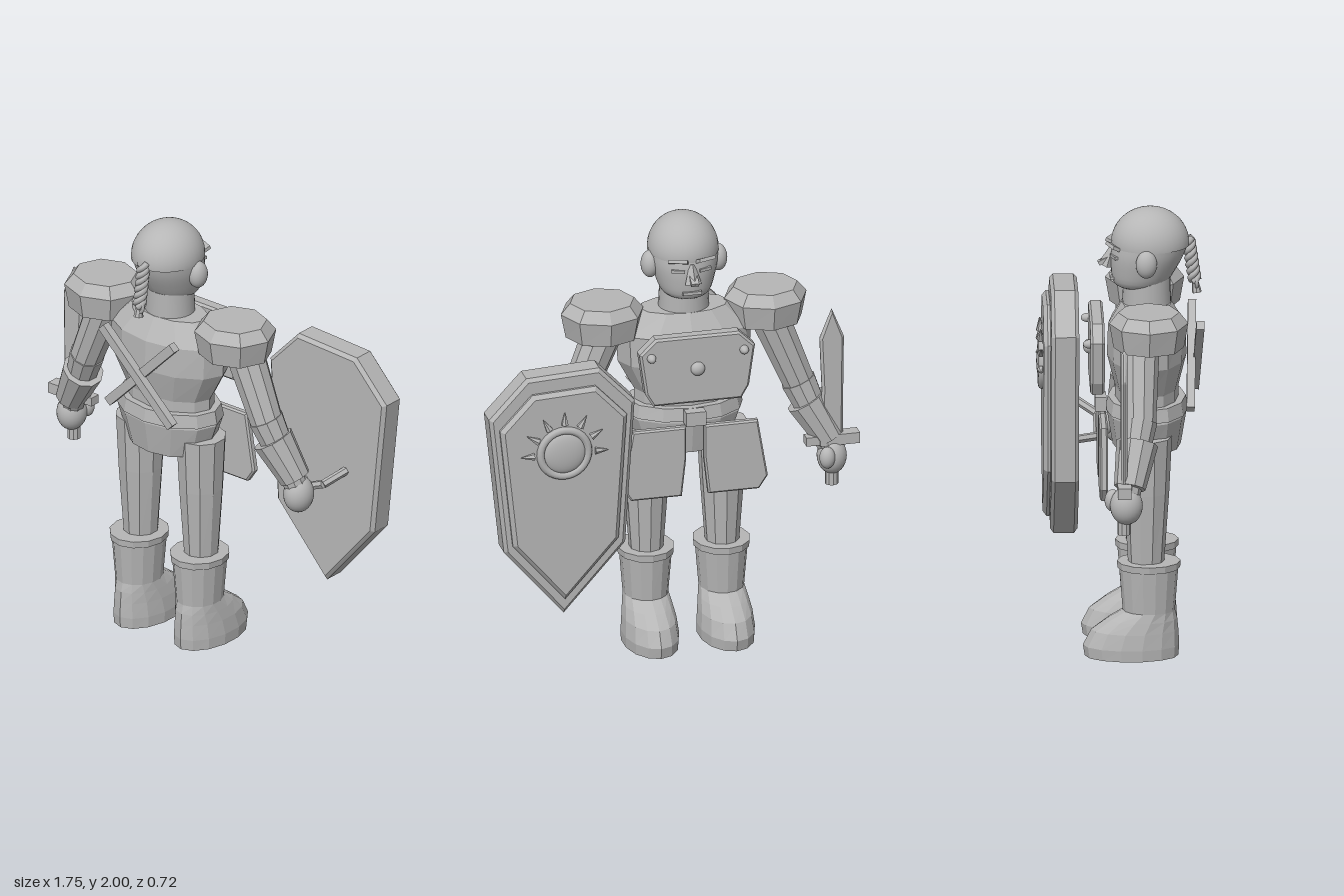
import * as THREE from 'three';

const CX = -0.11; // body midline
const V = (x, y, z) => new THREE.Vector3(x, y, z);

export function createModel() {
  const root = new THREE.Group();
  const grey = new THREE.MeshStandardMaterial({ color: 0xb6b6b6 });
  grey.name = 'plain grey';

  const body = new THREE.Group();
  body.name = 'warrior';
  body.position.x = CX;
  root.add(body);

  function add(parent, name, geo, flat = true) {
    if (flat) {
      if (geo.index) geo = geo.toNonIndexed();
      geo.computeVertexNormals();
    }
    const m = new THREE.Mesh(geo, grey);
    m.name = name;
    parent.add(m);
    return m;
  }
  // Stacked elliptical rings, top first: [y, halfWidth, centreZ, halfDepth]
  function loft(rings, sides) {
    const n = rings.length - 1;
    const g = new THREE.CylinderGeometry(1, 1, 1, sides, n);
    const p = g.attributes.position;
    for (let i = 0; i < p.count; i++) {
      const [y, w, cz, d] = rings[Math.round((0.5 - p.getY(i)) * n)];
      p.setXYZ(i, p.getX(i) * w, y, cz + p.getZ(i) * d);
    }
    return g;
  }
  // Tapered rod from a to b
  function rod(a, b, ra, rb, sides) {
    const d = b.clone().sub(a);
    const g = new THREE.CylinderGeometry(rb, ra, d.length(), sides);
    g.applyQuaternion(new THREE.Quaternion().setFromUnitVectors(V(0, 1, 0), d.normalize()));
    const c = a.clone().add(b).multiplyScalar(0.5);
    return g.translate(c.x, c.y, c.z);
  }
  // Bevelled outline between two depths
  function plate(pts, z0, z1, bevel) {
    const shape = new THREE.Shape(pts.map(([x, y]) => new THREE.Vector2(x, y)));
    const g = new THREE.ExtrudeGeometry(shape, {
      depth: z1 - z0 - 2 * bevel, bevelEnabled: bevel > 0, bevelSize: bevel,
      bevelThickness: bevel, bevelOffset: -bevel, bevelSegments: 1,
    });
    return g.translate(0, 0, z0 + bevel);
  }
  function ball(parent, name, c, r) {
    const m = add(parent, name, new THREE.SphereGeometry(1, 24, 16), false);
    m.position.set(...c);
    m.scale.set(...r);
    return m;
  }
  function box(parent, name, size, c, rot = [0, 0, 0]) {
    const m = add(parent, name, new THREE.BoxGeometry(...size));
    m.position.set(...c);
    m.rotation.set(...rot);
    return m;
  }

  // Torso, hips, belt and neck
  add(body, 'torso', loft([[1.57, 0.2, 0.115, 0.11], [1.47, 0.307, 0.115, 0.17], [1.33, 0.3, 0.115, 0.175],
    [1.19, 0.225, 0.115, 0.14], [1.12, 0.225, 0.115, 0.14]], 12));
  add(body, 'hips', loft([[1.14, 0.24, 0.115, 0.16], [1.07, 0.262, 0.115, 0.175], [0.92, 0.208, 0.115, 0.15]], 12));
  add(body, 'belt', loft([[1.14, 0.255, 0.115, 0.172], [1.08, 0.267, 0.115, 0.182]], 12));
  box(body, 'buckle', [0.09, 0.065, 0.05], [0, 1.11, -0.088]);
  add(body, 'neck', loft([[1.7, 0.105, 0.115, 0.105], [1.63, 0.11, 0.115, 0.105], [1.53, 0.115, 0.115, 0.11]], 24), false);

  // Head, with the jaw drawn towards the face
  const headProfile = [[0, 1.635], [0.07, 1.64], [0.11, 1.665], [0.135, 1.73], [0.15, 1.79], [0.154, 1.84]];
  const head = new THREE.LatheGeometry(
    new THREE.SplineCurve(headProfile.map(([r, y]) => new THREE.Vector2(r, y))).getPoints(16), 32);
  const hp = head.attributes.position;
  for (let i = 0; i < hp.count; i++) {
    const y = hp.getY(i);
    hp.setZ(i, 0.13 + hp.getZ(i) * 1.08 - (1.84 - y) * 0.25);
  }
  head.computeVertexNormals();
  add(body, 'face', head, false);
  const skull = add(body, 'skullCap', new THREE.SphereGeometry(1, 32, 14, 0, Math.PI * 2, 0, Math.PI * 0.52), false);
  skull.position.set(0, 1.84, 0.13);
  skull.scale.set(0.157, 0.16, 0.172);
  for (const s of [-1, 1]) {
    ball(body, 'ear', [s * 0.155, 1.78, 0.11], [0.04, 0.062, 0.047]);
    box(body, 'eyebrow', [0.085, 0.016, 0.035], [s * 0.062, 1.838, -0.035], [0.5, s * -0.35, s * 0.15]);
    box(body, 'eyelid', [0.06, 0.014, 0.02], [s * 0.06, 1.79, -0.028], [0, s * -0.35, 0]);
  }
  add(body, 'nose', rod(V(0, 1.735, -0.062), V(0, 1.82, -0.035), 0.038, 0.012, 4));
  box(body, 'noseTip', [0.035, 0.018, 0.06], [0, 1.76, -0.07], [-0.5, 0, 0]);
  box(body, 'mouth', [0.085, 0.014, 0.025], [0, 1.685, -0.035]);

  // Braid of three twisted strands, with a ring and tuft
  const braidPath = t => V(0, 1.86 - 0.2 * t, 0.297 + 0.03 * t);
  for (let k = 0; k < 3; k++) {
    const pts = [];
    for (let i = 0; i <= 40; i++) {
      const t = i / 40, a = t * 14 + k * Math.PI * 2 / 3, r = 0.017;
      pts.push(braidPath(t).add(V(Math.cos(a) * r, 0, Math.sin(a) * r)));
    }
    add(body, 'braidStrand', new THREE.TubeGeometry(new THREE.CatmullRomCurve3(pts), 60, 0.015, 6), false);
  }
  const ring = add(body, 'braidRing', new THREE.TorusGeometry(0.026, 0.009, 6, 16), false);
  ring.position.set(0, 1.66, 0.335);
  add(body, 'braidTuft', rod(V(0, 1.61, 0.335), V(0, 1.66, 0.328), 0.022, 0.014, 8));

  // Paired limbs and armour
  for (const s of [-1, 1]) {
    const pad = add(body, 'shoulderPad', loft([[1.625, 0.145, 0.115, 0.135], [1.575, 0.187, 0.115, 0.174],
      [1.465, 0.165, 0.115, 0.155]], 8));
    pad.position.x = s * 0.37;
    const shoulder = V(s * 0.365, 1.52, 0.075), elbow = V(s * 0.515, 1.15, 0.07), hand = V(s * 0.645, 0.84, 0.015);
    add(body, 'upperArm', rod(shoulder, elbow, 0.09, 0.074, 10));
    add(body, 'forearm', rod(elbow.clone().lerp(shoulder, 0.05), hand, 0.08, 0.05, 10));
    add(body, 'bracer', rod(V(s * 0.54, 1.075, 0.06), V(s * 0.638, 0.9, 0.025), 0.093, 0.07, 10));
    ball(body, 'hand', [s * 0.645, 0.82, 0.01], [0.066, 0.085, 0.072]);
    ball(body, 'thumb', [s * 0.61, 0.835, -0.05], [0.035, 0.05, 0.035]);

    const leg = add(body, 'leg', loft([[1.0, 0.112, 0.11, 0.112], [0.75, 0.1, 0.11, 0.1], [0.4, 0.074, 0.108, 0.078]], 10));
    const cuff = add(body, 'bootCuff', loft([[0.433, 0.128, 0.12, 0.14], [0.402, 0.125, 0.12, 0.138]], 12));
    const boot = add(body, 'boot', loft([[0.405, 0.116, 0.12, 0.13], [0.21, 0.1, 0.12, 0.115], [0.17, 0.108, 0.09, 0.155],
      [0.12, 0.117, 0.058, 0.192], [0.05, 0.124, 0.042, 0.212], [0, 0.122, 0.044, 0.206]], 14));
    for (const m of [leg, cuff, boot]) m.position.x = s * 0.172;

    const tasset = [[0.04, 1.07], [0.285, 1.07], [0.33, 0.8], [0.29, 0.74], [0.06, 0.74], [0.04, 0.92]];
    add(body, 'tasset', plate(tasset.map(([x, y]) => [s * x, y]), -0.098, -0.062, 0.008));

    // Crossed rods on the back
    box(body, 'backRod', [0.042, 0.54, 0.036], [0, 1.32, 0.325 + s * 0.014], [0.04, 0, s * 0.78]);
  }

  // Breastplate with studs
  add(body, 'breastplate', plate([[-0.19, 1.52], [0.19, 1.52], [0.262, 1.45], [0.235, 1.26], [0.2, 1.2],
    [-0.2, 1.2], [-0.235, 1.26], [-0.262, 1.45]], -0.138, -0.075, 0.01));
  for (const s of [-1, 1]) ball(body, 'cornerStud', [s * 0.21, 1.435, -0.14], [0.02, 0.02, 0.03]);
  ball(body, 'centreStud', [0, 1.365, -0.14], [0.032, 0.032, 0.025]);

  // Sword held upright
  const sword = new THREE.Group();
  sword.name = 'sword';
  sword.position.x = -0.752;
  root.add(sword);
  add(sword, 'blade', plate([[-0.05, 0.9], [0.05, 0.9], [0.045, 1.15], [0.055, 1.39], [0, 1.525],
    [-0.055, 1.39], [-0.052, 1.15]], -0.014, 0.014, 0.011));
  box(sword, 'guard', [0.18, 0.05, 0.06], [-0.032, 0.906, 0]);
  box(sword, 'guardTip', [0.07, 0.04, 0.05], [0.085, 0.906, 0]);
  add(sword, 'grip', rod(V(0, 0.69, 0), V(0, 0.9, 0), 0.03, 0.03, 10));

  // Shield with raised field, sun boss and handle
  const shield = new THREE.Group();
  shield.name = 'shield';
  shield.position.x = 0.543;
  root.add(shield);
  const outline = [[-0.17, 1.48], [0.161, 1.462], [0.33, 1.28], [0.262, 0.64], [-0.009, 0.323], [-0.288, 0.635], [-0.331, 1.31]];
  const inset = k => outline.map(([x, y]) => [x * k, 0.92 + (y - 0.92) * k]);
  add(shield, 'shieldBody', plate(outline, -0.295, -0.173, 0.016));
  add(shield, 'shieldField', plate(inset(0.87), -0.328, -0.28, 0.018));
  const sun = new THREE.Group();
  sun.name = 'sunBoss';
  sun.position.set(0, 1.11, -0.33);
  shield.add(sun);
  add(sun, 'bossRing', new THREE.TorusGeometry(0.108, 0.018, 8, 32), false);
  ball(sun, 'bossDome', [0, 0, 0], [0.095, 0.095, 0.025]);
  for (let i = 0; i < 7; i++) {
    const a = Math.PI * i / 6;
    const at = r => V(Math.cos(a) * r, Math.sin(a) * r, -0.008);
    add(sun, 'sunRay', rod(at(0.138), at(0.198), 0.017, 0.002, 6));
  }
  const grip = [V(-0.14, 0.79, -0.18), V(-0.09, 0.79, -0.085), V(0.055, 0.85, -0.085), V(0.11, 0.9, -0.18)];
  for (let i = 0; i < 3; i++) add(shield, 'shieldHandle', rod(grip[i], grip[i + 1], 0.019, 0.019, 6));

  return root;
}
